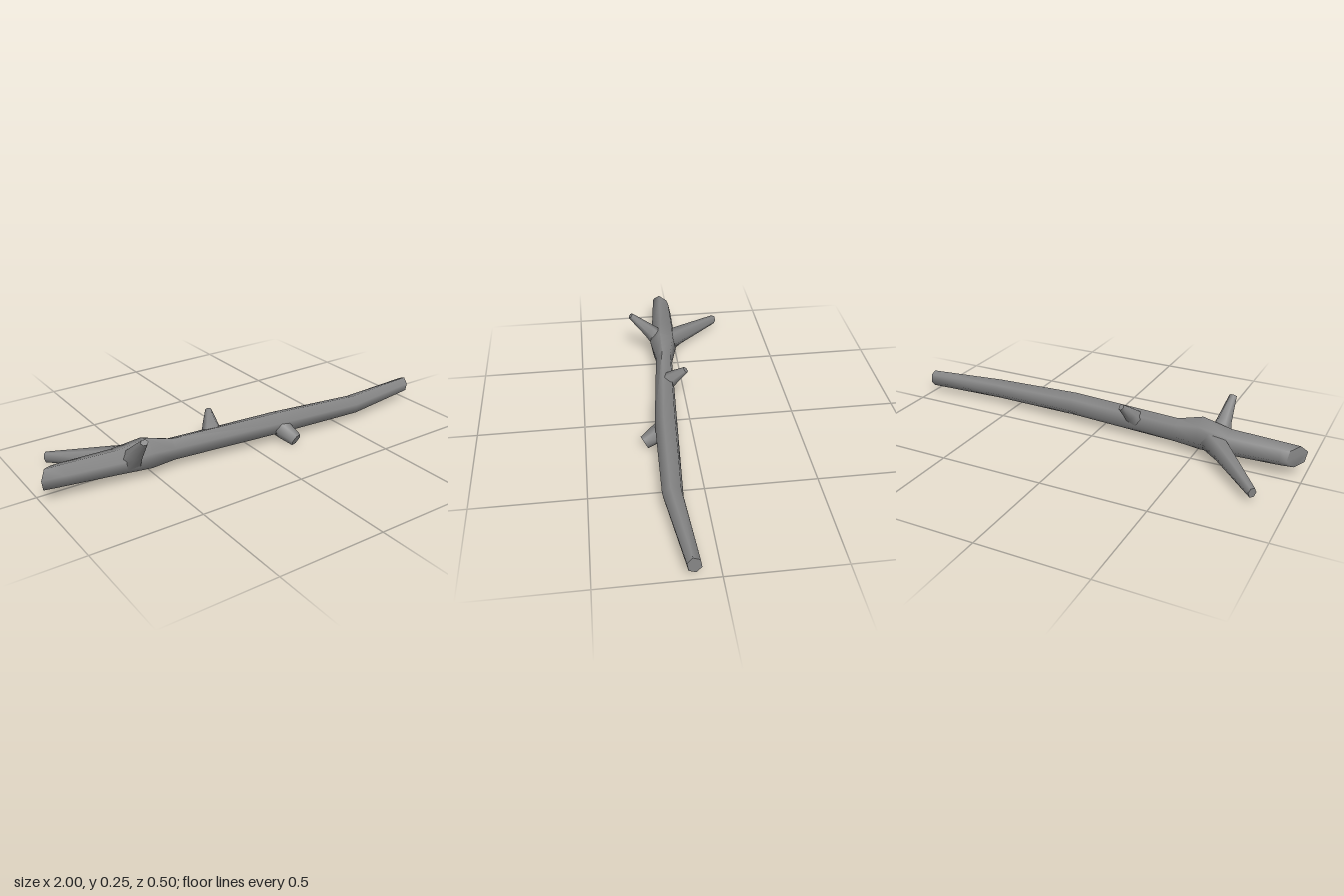
import * as THREE from 'three';
import { toCreasedNormals } from 'three/addons/utils/BufferGeometryUtils.js';

const SIDES = 6;
const material = new THREE.MeshStandardMaterial({ color: 0x868686 });

// Lofts six-sided rings [x, y, z, half width, half height, slant] into a capped limb
function limb(name, dir, phase, rings) {
  const v = new THREE.Vector3(0, 1, 0).addScaledVector(dir, -dir.y).normalize();
  const u = dir.clone().cross(v);
  const pos = [], index = [];
  rings.forEach(([x, y, z, w, h, slant = 0]) => {
    for (let j = 0; j < SIDES; j++) {
      const t = phase + j / SIDES * Math.PI * 2, c = Math.cos(t) * w;
      const p = new THREE.Vector3(x, y, z).addScaledVector(u, c)
        .addScaledVector(v, Math.sin(t) * h).addScaledVector(dir, c * slant);
      pos.push(p.x, p.y, p.z);
    }
  });
  const last = rings.length - 1;
  for (let j = 0; j < SIDES; j++) {
    const k = (j + 1) % SIDES;
    for (let i = 0; i < last; i++) {
      const a = i * SIDES, b = a + SIDES;
      index.push(a + j, b + j, a + k, b + j, b + k, a + k);
    }
    // end caps
    if (j > 0 && j < SIDES - 1) {
      const e = last * SIDES;
      index.push(0, j, k, e, e + k, e + j);
    }
  }
  const geo = new THREE.BufferGeometry();
  geo.setAttribute('position', new THREE.Float32BufferAttribute(pos, 3));
  geo.setIndex(index);
  const mesh = new THREE.Mesh(toCreasedNormals(geo, 1.2), material);
  mesh.name = name;
  return mesh;
}

// A twig's rings face along the line from its base to its tip
function twig(name, rings) {
  const [base, tip] = [rings[0], rings.at(-1)].map(r => new THREE.Vector3(r[0], r[1], r[2]));
  return limb(name, tip.sub(base).normalize(), 0, rings);
}

export function createModel() {
  const group = new THREE.Group();
  group.name = 'stick';
  group.add(
    // long bent trunk with a knot where the two large twigs grow
    limb('trunk', new THREE.Vector3(1, 0, 0), 0.31, [
      [-0.965, 0.105, 0.042, 0.041, 0.05, -0.9],
      [-0.9, 0.103, 0.045, 0.051, 0.053],
      [-0.66, 0.097, 0.06, 0.063, 0.06],
      [-0.52, 0.104, 0.074, 0.069, 0.078],
      [-0.4, 0.09, 0.081, 0.043, 0.057],
      [0.15, 0.09, 0.127, 0.055, 0.056],
      [0.6, 0.076, 0.147, 0.047, 0.048],
      [0.995, 0.078, 0.109, 0.031, 0.04],
    ]),
    // long twig pointing backwards
    twig('backTwig', [
      [-0.56, 0.09, 0.07, 0.06, 0.06],
      [-0.65, 0.083, -0.02, 0.047, 0.047],
      [-0.855, 0.047, -0.24, 0.019, 0.025],
    ]),
    // twig pointing up and forwards
    twig('upperTwig', [
      [-0.6, 0.085, 0.075, 0.062, 0.05],
      [-0.602, 0.155, 0.14, 0.036, 0.034],
      [-0.608, 0.245, 0.233, 0.018, 0.014],
    ]),
    // short stub pointing up and backwards
    twig('backStub', [
      [-0.19, 0.09, 0.1, 0.055, 0.046],
      [-0.175, 0.138, 0.052, 0.037, 0.032],
      [-0.152, 0.188, 0, 0.014, 0.016],
    ]),
    // short stub pointing forwards and down
    twig('frontStub', [
      [0.15, 0.085, 0.12, 0.058, 0.05],
      [0.164, 0.058, 0.175, 0.042, 0.042],
      [0.184, 0.031, 0.232, 0.029, 0.033],
    ]),
  );
  return group;
}
